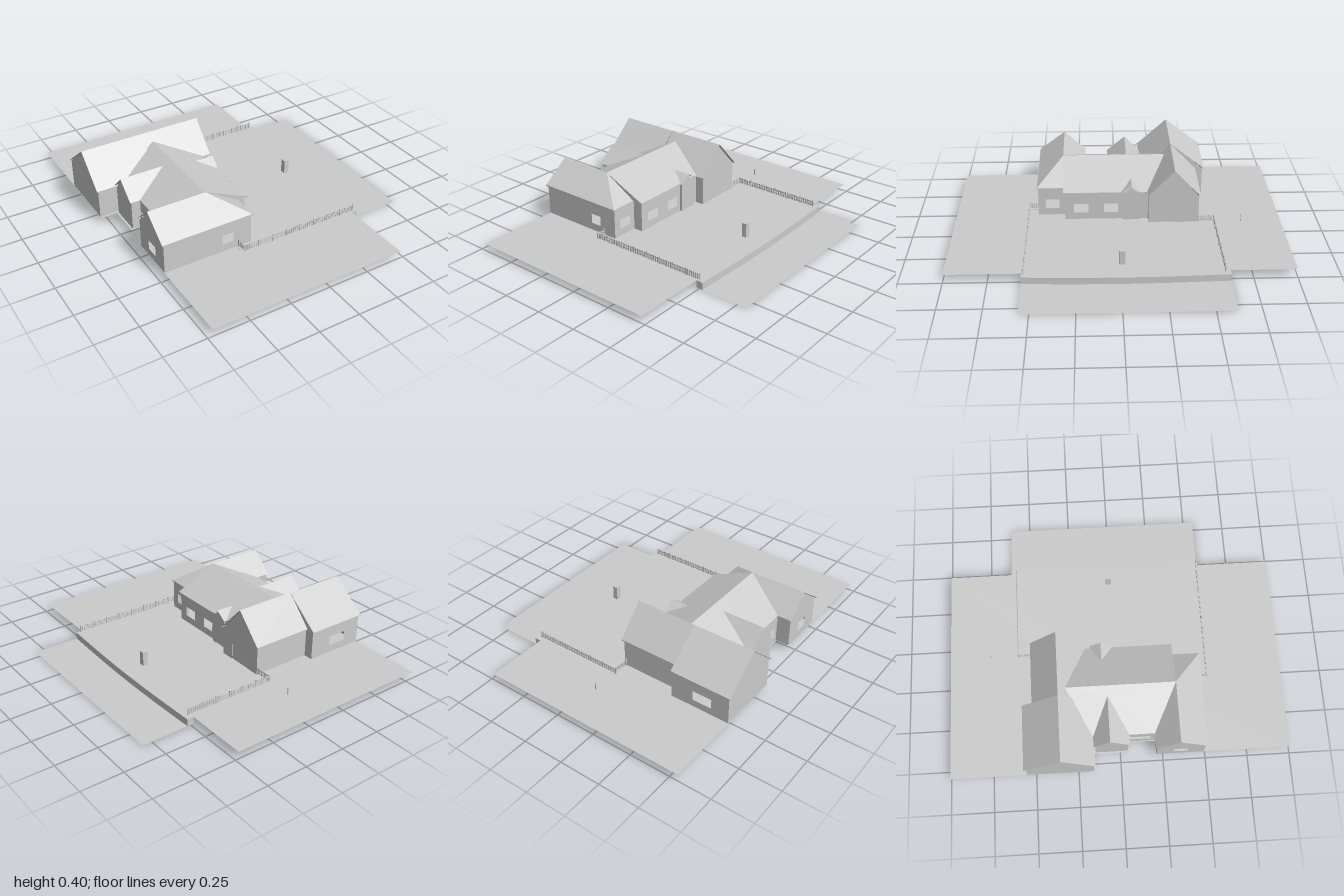
import * as THREE from 'three';

const G = 0.045, EAVE = 0.225;
const mat = new THREE.MeshStandardMaterial({ color: 0xcccccc, flatShading: true, side: THREE.DoubleSide });

export function createModel() {
  const model = new THREE.Group();
  const add = (name, geo, parent = model) => {
    const m = new THREE.Mesh(geo, mat);
    m.name = name;
    parent.add(m);
    return m;
  };
  const box = (name, w, h, d, x, y, z, parent) => {
    const m = add(name, new THREE.BoxGeometry(w, h, d), parent);
    m.position.set(x, y + h / 2, z);
    return m;
  };

  // Flat horizontal outline in x, z
  const flat = (name, pts, y) => {
    const geo = new THREE.ShapeGeometry(new THREE.Shape(pts.map(([x, z]) => new THREE.Vector2(x, -z))));
    add(name, geo.rotateX(-Math.PI / 2)).position.y = y;
  };

  // Roof face as a triangle fan
  const face = (name, ...pts) => {
    const pos = [];
    for (let i = 1; i < pts.length - 1; i++) pos.push(...pts[0], ...pts[i], ...pts[i + 1]);
    const geo = new THREE.BufferGeometry();
    geo.setAttribute('position', new THREE.Float32BufferAttribute(pos, 3));
    // turn every face upward
    geo.computeVertexNormals();
    if (geo.attributes.normal.getY(0) < 0) {
      const p = geo.attributes.position;
      for (let i = 0; i < p.count; i += 3) {
        const a = new THREE.Vector3().fromBufferAttribute(p, i);
        p.setXYZ(i, p.getX(i + 1), p.getY(i + 1), p.getZ(i + 1));
        p.setXYZ(i + 1, a.x, a.y, a.z);
      }
      geo.computeVertexNormals();
    }
    add(name, geo);
  };

  // Wall from a to b (x, z); holes are [start, end, bottom, top, arched], peak is [distance, height]
  const wall = (name, a, b, holes = [], peak) => {
    const dx = b[0] - a[0], dz = b[1] - a[1], len = Math.hypot(dx, dz);
    const s = new THREE.Shape();
    s.moveTo(0, G); s.lineTo(len, G); s.lineTo(len, EAVE);
    if (peak) s.lineTo(peak[0], peak[1]);
    s.lineTo(0, EAVE); s.closePath();
    for (const [u0, u1, v0, v1, arched] of holes) {
      const h = new THREE.Path();
      h.moveTo(u0, v0); h.lineTo(u0, v1);
      if (arched) h.quadraticCurveTo((u0 + u1) / 2, v1 + 0.015, u1, v1);
      else h.lineTo(u1, v1);
      h.lineTo(u1, v0); h.closePath();
      s.holes.push(h);
    }
    const m = add(name, new THREE.ShapeGeometry(s, 6));
    m.position.set(a[0], 0, a[1]);
    m.rotation.y = -Math.atan2(dz, dx);
  };

  // Ground, following the house outline at the back
  flat('upperGround', [[-0.8, -1], [0.48, -1], [0.48, 1], [-0.72, 1], [-0.72, 0.21], [-0.64, 0.21],
    [-0.64, 0.05], [-0.7, 0.05], [-0.7, -0.15], [-0.8, -0.15]], G - 0.002);
  const curb = [];
  for (let i = 0; i <= 12; i++) {
    const t = i / 12;
    curb.push([0.52 + 0.015 * Math.sin(Math.PI * t), -0.62 + 1.18 * t]);
  }
  flat('lowerGround', [...curb, [0.805, 0.56], [0.805, -0.62]], 0);

  // Bowed retaining wall between the two levels
  const curbShape = new THREE.Shape([[0.48, -0.62], ...curb, [0.48, 0.56]].map(([x, z]) => new THREE.Vector2(x, -z)));
  add('retainingWall', new THREE.ExtrudeGeometry(curbShape, { depth: G - 0.002, bevelEnabled: false }).rotateX(-Math.PI / 2));

  // Garage wing walls
  wall('garageFront', [-0.06, -0.185], [-0.06, -0.492], [[0.08, 0.225, G + 0.001, 0.175]], [0.155, 0.39]);
  box('garageDoor', 0.008, 0.13, 0.15, -0.068, G, -0.3375);
  wall('garageSouth', [-0.115, -0.185], [-0.06, -0.185]);
  wall('garageNorth', [-0.43, -0.492], [-0.06, -0.492]);
  wall('rearWingNorth', [-0.8, -0.55], [-0.43, -0.55], [[0.11, 0.23, 0.09, 0.15]]);
  wall('rearWingWest', [-0.8, -0.55], [-0.8, -0.16], [], [0.21, 0.393]);
  wall('rearWingEast', [-0.43, -0.55], [-0.43, -0.16], [], [0.21, 0.393]);
  wall('rearWingSouth', [-0.8, -0.16], [-0.64, -0.16]);

  // South wing walls
  wall('southWall', [-0.72, 0.49], [-0.175, 0.49], [[0.36, 0.43, 0.09, 0.15]]);
  wall('southWingWest', [-0.72, 0.21], [-0.72, 0.49], [[0.1, 0.18, 0.09, 0.15]], [0.125, 0.35]);
  wall('southWingEast', [-0.175, 0.325], [-0.175, 0.49], [[0.035, 0.12, 0.09, 0.15]]);
  wall('southWingNorth', [-0.72, 0.21], [-0.635, 0.21]);

  // Main block walls
  wall('mainEast', [-0.115, -0.185], [-0.115, 0.325], [[0.185, 0.27, 0.09, 0.15], [0.365, 0.455, 0.09, 0.15]]);
  wall('mainReturn', [-0.175, 0.325], [-0.115, 0.325]);
  wall('mainWest', [-0.635, 0.045], [-0.635, 0.21], [[0.01, 0.135, 0.09, 0.15]]);

  // Rear gable walls
  wall('rearGableWall', [-0.69, -0.145], [-0.69, 0.045], [], [0.087, 0.323]);
  for (const z of [-0.145, 0.045]) wall('rearGableSide', [-0.69, z], [-0.635, z]);

  // Entry porch walls and arched door
  wall('entryWall', [-0.1, -0.138], [-0.1, -0.028], [[0.032, 0.082, G + 0.001, 0.142, true]], [0.055, 0.268]);
  for (const z of [-0.138, -0.028]) wall('entrySide', [-0.115, z], [-0.1, z]);
  box('entryDoor', 0.005, 0.107, 0.054, -0.107, G, -0.081);

  // Garage roofs: wide rear part and narrower front part under one ridge
  for (const [x0, x1, zN, zS] of [[-0.81, -0.43, -0.56, -0.15], [-0.43, -0.05, -0.503, -0.177]]) {
    for (const z of [zN, zS]) {
      face('garageRoof', [x0, 0.4, -0.34], [x1, 0.4, -0.34], [x1, EAVE, z], [x0, EAVE, z]);
      box('garageFascia', x1 - x0, 0.006, 0.003, (x0 + x1) / 2, EAVE - 0.004, z);
    }
  }

  // Main roof
  const E = 0.232, R = 0.355;
  face('mainRoofEast', [-0.375, R, 0.335], [-0.105, E, 0.335], [-0.105, E, -0.177], [-0.375, R, -0.3]);
  face('mainRoofWest', [-0.43, 0.329, -0.06], [-0.64, E, -0.155], [-0.375, R, -0.3],
    [-0.375, R, 0.335], [-0.64, E, 0.2], [-0.64, E, 0.055]);
  face('mainRoofEnd', [-0.375, R, 0.335], [-0.17, E, 0.335], [-0.105, E, 0.335]);
  box('mainFascia', 0.003, 0.008, 0.512, -0.105, EAVE, 0.079);

  // South wing roof with one hip
  face('southRoof', [-0.73, R, 0.335], [-0.375, R, 0.335], [-0.17, E, 0.498], [-0.73, E, 0.498]);
  face('southRoofHip', [-0.375, R, 0.335], [-0.17, E, 0.335], [-0.17, E, 0.498]);
  face('southRoofNorth', [-0.73, R, 0.335], [-0.375, R, 0.335], [-0.64, E, 0.2], [-0.73, E, 0.2]);
  box('southFascia', 0.56, 0.008, 0.003, -0.45, EAVE, 0.498);
  box('hipFascia', 0.003, 0.008, 0.163, -0.17, EAVE, 0.4165);

  // Rear gable and entry roofs
  for (const z of [-0.155, 0.055])
    face('rearGableRoof', [-0.7, 0.329, -0.06], [-0.43, 0.329, -0.06], [-0.64, E, z], [-0.7, E, z]);
  for (const z of [-0.148, -0.018])
    face('entryRoof', [-0.09, 0.277, -0.083], [-0.2, 0.277, -0.083], [-0.105, E, z], [-0.09, E, z]);

  // Picket fences, each with a short return to the house
  const fence = (x0, z0, x1, z1, posts) => {
    const g = new THREE.Group();
    g.name = 'fence';
    model.add(g);
    const len = Math.hypot(x1 - x0, z1 - z0);
    const n = Math.round(len / 0.0135);
    for (let i = 0; i <= n; i++)
      box('picket', 0.007, 0.036, 0.002, len * i / n, G + 0.002, 0, g);
    for (let i = 0; i <= posts; i++)
      box('fencePost', 0.006, 0.044, 0.006, len * i / posts, G, 0, g);
    for (const y of [0.008, 0.027]) box('fenceRail', len, 0.005, 0.002, len / 2, G + y, -0.002, g);
    g.position.set(x0, 0, z0);
    g.rotation.y = -Math.atan2(z1 - z0, x1 - x0);
  };
  fence(-0.257, 0.55, 0.493, 0.55, 8);
  fence(-0.257, 0.495, -0.257, 0.55, 1);
  fence(-0.07, -0.588, 0.493, -0.588, 6);
  fence(-0.07, -0.588, -0.07, -0.495, 1);

  // Small yard items
  box('yardPillar', 0.03, 0.087, 0.034, 0.393, G, -0.01);
  box('marker', 0.006, 0.045, 0.004, -0.065, G, -0.756);
  box('groundBlock', 0.03, 0.012, 0.03, -0.257, 0.034, 0.51);

  return model;
}
